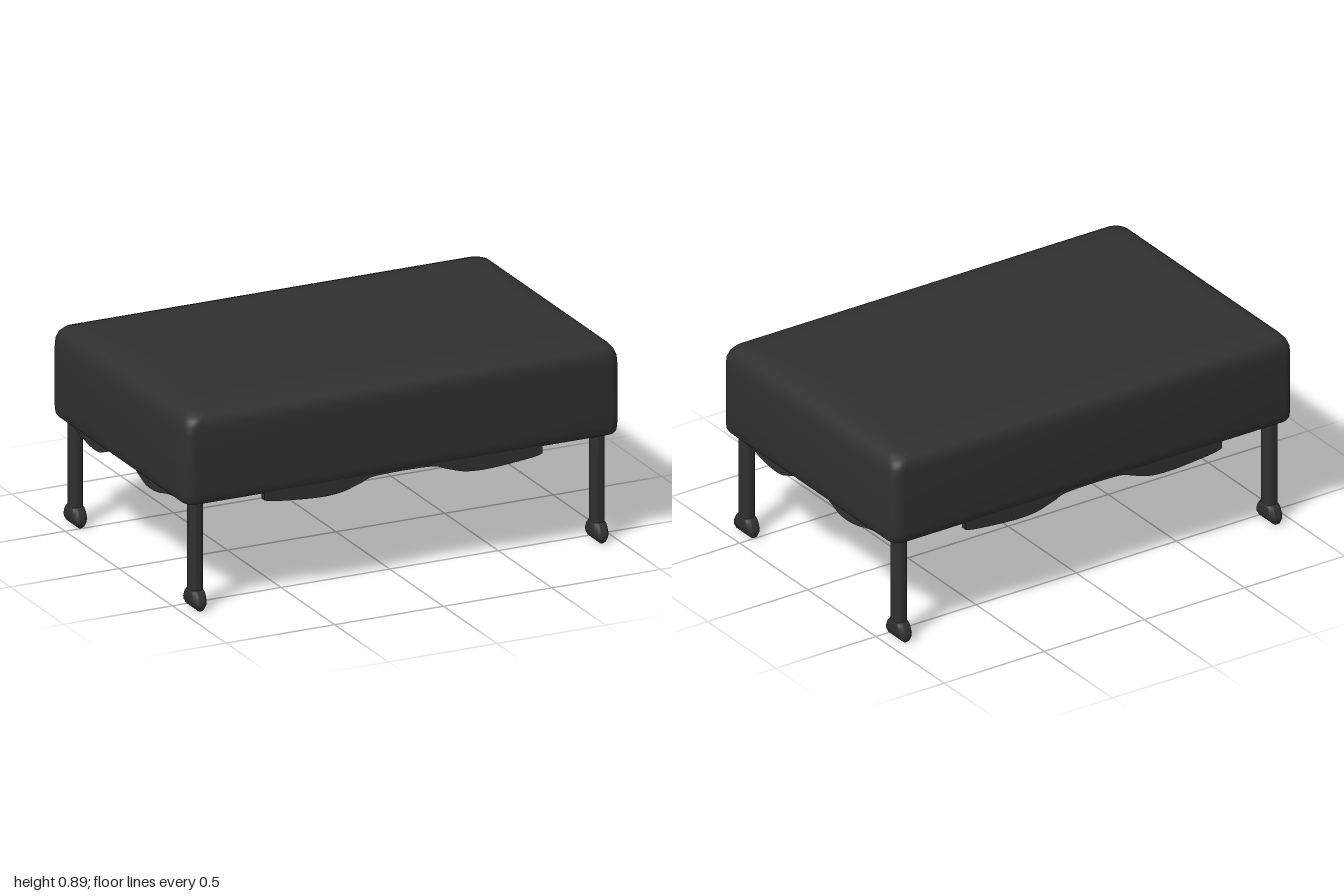
import * as THREE from 'three';
import { toCreasedNormals } from 'three/addons/utils/BufferGeometryUtils.js';

// Lofts rounded rectangles, given as [y, halfX, halfZ, cornerRadius], from bottom to top.
function loft(levels, steps = 8) {
  const pos = [], index = [], n = 4 * (steps + 1);
  for (const [y, hx, hz, r] of levels) {
    for (let c = 0; c < 4; c++) {
      const sx = c === 0 || c === 3 ? 1 : -1, sz = c < 2 ? 1 : -1;
      for (let s = 0; s <= steps; s++) {
        const a = (c + s / steps) * Math.PI / 2;
        pos.push(sx * (hx - r) + r * Math.cos(a), y, sz * (hz - r) + r * Math.sin(a));
      }
    }
  }
  const last = levels.length - 1, low = n * levels.length, high = low + 1;
  pos.push(0, levels[0][0], 0, 0, levels[last][0], 0);
  for (let j = 0; j < n; j++) {
    const k = (j + 1) % n;
    for (let i = 0; i < last; i++) {
      const a = i * n + j, b = i * n + k;
      index.push(a, a + n, b, b, a + n, b + n);
    }
    index.push(low, j, k, high, last * n + k, last * n + j);
  }
  const geo = new THREE.BufferGeometry();
  geo.setAttribute('position', new THREE.Float32BufferAttribute(pos, 3));
  geo.setIndex(index);
  return toCreasedNormals(geo, 0.9);
}

// Thin hanging panel with a mirrored wavy lower edge; points run from the outer end to the middle.
function apronGeometry(half) {
  const edge = [...half, ...half.map(([x, y]) => [-x, y]).reverse()].map(([x, y]) => new THREE.Vector2(x, y));
  const shape = new THREE.Shape();
  shape.moveTo(edge[0].x, 0.5);
  shape.lineTo(edge[0].x, edge[0].y);
  shape.splineThru(edge.slice(1));
  shape.lineTo(-edge[0].x, 0.5);
  shape.closePath();
  const geo = new THREE.ExtrudeGeometry(shape, { depth: 0.026, bevelEnabled: false, curveSegments: 40 });
  return toCreasedNormals(geo, 0.6);
}

export function createModel() {
  const group = new THREE.Group();
  const charcoal = new THREE.MeshStandardMaterial({ color: 0x303030 });
  charcoal.name = 'charcoal';

  const add = (name, geo, parent = group) => {
    const mesh = new THREE.Mesh(geo, charcoal);
    mesh.name = name;
    parent.add(mesh);
    return mesh;
  };

  // Cushion body with rounded shoulders and a gently crowned top
  add('cushion', loft([
    [0.478, 0.992, 0.626, 0.05],
    [0.49, 0.998, 0.633, 0.05],
    [0.52, 1, 0.636, 0.05],
    [0.78, 1, 0.636, 0.05],
    [0.815, 0.997, 0.635, 0.05],
    [0.84, 0.988, 0.63, 0.055],
    [0.858, 0.975, 0.615, 0.06],
    [0.872, 0.957, 0.575, 0.06],
    [0.882, 0.935, 0.5, 0.06],
    [0.889, 0.905, 0.38, 0.06],
    [0.893, 0.87, 0.22, 0.06],
    [0.895, 0.8, 0.08, 0.05],
  ]));

  // Wavy aprons under all four sides
  const longApron = apronGeometry([[0.64, 0.447], [0.6, 0.437], [0.48, 0.425], [0.37, 0.419], [0.28, 0.426], [0.2, 0.45], [0.12, 0.472]]);
  const shortApron = apronGeometry([[0.52, 0.478], [0.42, 0.463], [0.34, 0.443], [0.27, 0.435], [0.21, 0.439], [0.15, 0.461], [0.09, 0.477]]);
  ['frontApron', 'leftApron', 'backApron', 'rightApron'].forEach((name, i) => {
    const apron = add(name, i % 2 ? shortApron : longApron);
    const turn = i * Math.PI / 2, offset = i % 2 ? 0.958 : 0.602;
    apron.rotation.y = turn;
    apron.position.set(Math.sin(turn) * offset, 0, Math.cos(turn) * offset);
  });

  // Slim legs on flared feet
  const legGeo = loft([[0.06, 0.029, 0.036, 0.027], [0.49, 0.029, 0.036, 0.027]]);
  const footGeo = loft([
    [0, 0.008, 0.054, 0.007],
    [0.008, 0.017, 0.064, 0.016],
    [0.025, 0.027, 0.07, 0.025],
    [0.04, 0.031, 0.068, 0.027],
    [0.065, 0.031, 0.057, 0.027],
    [0.079, 0.03, 0.046, 0.027],
    [0.085, 0.026, 0.037, 0.025],
  ]);
  for (const x of [-1, 1]) {
    for (const z of [-1, 1]) {
      const leg = new THREE.Group();
      leg.name = (z > 0 ? 'front' : 'back') + (x > 0 ? 'Left' : 'Right') + 'Leg';
      add('post', legGeo, leg);
      add('foot', footGeo, leg);
      leg.position.set(x * 0.925, 0, z * 0.558);
      group.add(leg);
    }
  }
  return group;
}
